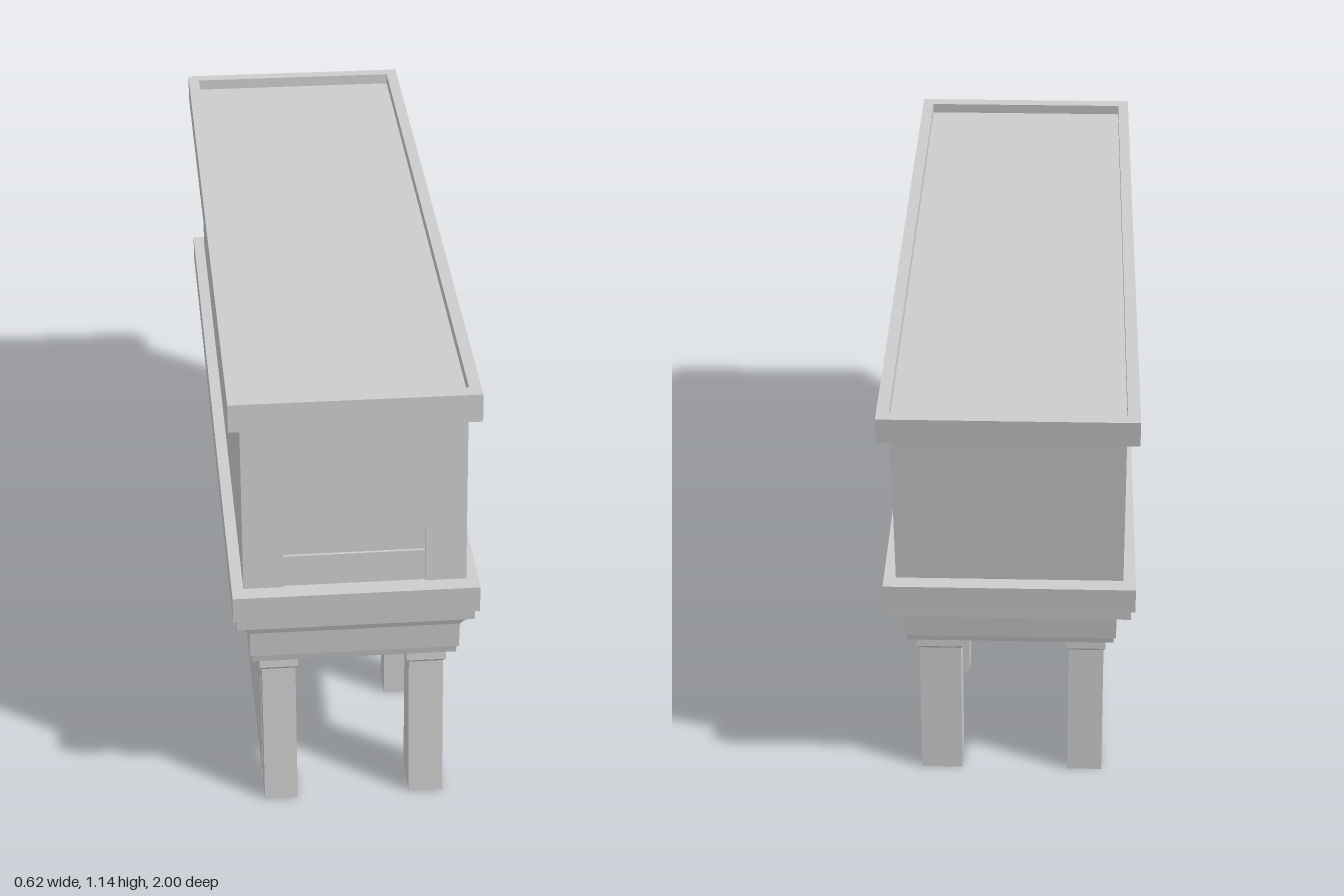
import * as THREE from 'three';

const material = new THREE.MeshStandardMaterial({ color: 0xcccccc, flatShading: true });

// The right-hand (-x) side splays slightly outward toward the back.
const splay = (x, z) => (x < 0 ? x + (-x / 0.31) * (0.0027 + 0.0077 * z) : x);
// The upper storey leans back.
const LEAN = 0.125, FLOOR = 0.63;
const leanZ = (y, z) => z - LEAN * (y - FLOOR);

function addMesh(parent, name, geometry) {
  const mesh = new THREE.Mesh(geometry, material);
  mesh.name = name;
  parent.add(mesh);
  return mesh;
}

function warp(geometry, leaning) {
  const p = geometry.attributes.position;
  for (let i = 0; i < p.count; i++) {
    const x = p.getX(i), y = p.getY(i), z = p.getZ(i);
    p.setXYZ(i, splay(x, z), y, leaning ? leanZ(y, z) : z);
  }
  geometry.computeVertexNormals();
  return geometry;
}

// Rectangular rings [y, x0, x1, z0, z1] joined from bottom to top, with caps.
function loft(rings, leaning = false) {
  const pos = [], index = [];
  for (const [y, x0, x1, z0, z1] of rings) {
    pos.push(x0, y, z1, x1, y, z1, x1, y, z0, x0, y, z0);
  }
  for (let r = 0; r < rings.length - 1; r++) {
    for (let k = 0; k < 4; k++) {
      const a = r * 4 + k, b = r * 4 + (k + 1) % 4;
      index.push(a, b, b + 4, a, b + 4, a + 4);
    }
  }
  const t = (rings.length - 1) * 4;
  index.push(0, 2, 1, 0, 3, 2, t, t + 1, t + 2, t, t + 2, t + 3);
  const g = new THREE.BufferGeometry();
  g.setAttribute('position', new THREE.Float32BufferAttribute(pos, 3));
  g.setIndex(index);
  return warp(g.toNonIndexed(), leaning);
}

const box = (x0, x1, y0, y1, z0, z1, leaning) =>
  loft([[y0, x0, x1, z0, z1], [y1, x0, x1, z0, z1]], leaning);

// Wall plate with arched notches rising from its base.
function archPlate(u0, u1, centres, halfWidth, top, depth) {
  const spring = 0.77, crown = 0.905, segments = 7;
  const s = new THREE.Shape();
  s.moveTo(u0, FLOOR);
  for (const c of centres) {
    s.lineTo(c - halfWidth, FLOOR);
    for (let i = 0; i <= segments + 1; i++) {
      const a = Math.PI * (1 - i / (segments + 1));
      s.lineTo(c + halfWidth * Math.cos(a), spring + (crown - spring) * Math.sin(a));
    }
    s.lineTo(c + halfWidth, FLOOR);
  }
  s.lineTo(u1, FLOOR);
  s.lineTo(u1, top);
  s.lineTo(u0, top);
  return new THREE.ExtrudeGeometry(s, { depth, bevelEnabled: false });
}

export function createModel() {
  const model = new THREE.Group();
  model.name = 'arcadedBuilding';

  // Stepped cornice between legs and upper storey: [y, front z, back z, half width]
  const profile = [
    [0.403, 0.94, -0.835, 0.245], [0.412, 0.94, -0.838, 0.245],
    [0.412, 0.96, -0.85, 0.26], [0.432, 0.963, -0.855, 0.26],
    [0.432, 0.965, -0.86, 0.266], [0.502, 0.967, -0.87, 0.266],
    [0.527, 0.975, -0.9, 0.287], [0.527, 0.985, -0.915, 0.3],
    [0.56, 0.985, -0.918, 0.3], [0.56, 0.998, -0.93, 0.31],
    [FLOOR, 0.997, -0.938, 0.31],
  ];
  addMesh(model, 'cornice', loft(profile.map(([y, f, b, w]) => [y, -w, w, b, f])));

  // Upper storey: solid core, arched front and side plates
  const upper = new THREE.Group();
  upper.name = 'upperStorey';
  model.add(upper);
  const TOP = 1.08, FRONT = 0.955, BACK = -0.896, SIDE = 0.28;
  const frontDepth = 0.012, sideDepth = 0.06;
  addMesh(upper, 'core',
    box(-SIDE, SIDE - sideDepth, FLOOR, TOP, BACK, FRONT - frontDepth, true));

  const front = archPlate(-SIDE, SIDE, [0], 0.178, TOP, frontDepth);
  front.translate(0, 0, FRONT - frontDepth);
  addMesh(upper, 'frontArchWall', warp(front, true));
  addMesh(upper, 'frontParapet',
    box(-0.178, 0.178, FLOOR, 0.71, FRONT - frontDepth - 0.01, FRONT - 0.005, true));

  const centres = [0.683, 0.246, -0.192, -0.63];
  const side = archPlate(-FRONT + frontDepth, -BACK, centres.map((c) => -c), 0.174, TOP, sideDepth);
  side.rotateY(Math.PI / 2);
  side.translate(SIDE - sideDepth, 0, 0);
  addMesh(upper, 'sideArchWall', warp(side, true));
  for (const c of centres) {
    addMesh(upper, 'sideParapet',
      box(SIDE - sideDepth - 0.01, SIDE - 0.025, FLOOR, 0.71, c - 0.174, c + 0.174, true));
  }

  // Overhanging roof rim with a sunken flat roof
  const ring = (y, w, f, b) => [y, -w, w, b, f];
  addMesh(model, 'roof', loft([
    ring(1.07, 0.31, 0.992, -0.933), ring(1.14, 0.31, 0.992, -0.935),
    ring(1.14, 0.28, 0.955, -0.902), ring(1.112, 0.28, 0.955, -0.902),
  ], true));

  // Legs: z range at the ground, z range at the top
  const rows = [
    [0.88, 0.995, 0.845, 0.94], [0.49, 0.575, 0.455, 0.54], [0.045, 0.125, 0.02, 0.1],
    [-0.415, -0.33, -0.42, -0.34], [-0.835, -0.75, -0.83, -0.748],
  ];
  const neck = 0.375, e = 0.006;
  function addLeg(x0, x1, [b0, b1, t0, t1]) {
    const k = neck / 0.405;
    const n0 = b0 + (t0 - b0) * k, n1 = b1 + (t1 - b1) * k;
    addMesh(model, 'leg', loft([
      [0, x0, x1, b0, b1], [neck, x0, x1, n0, n1],
      [neck + 0.008, x0 - e, x1 + e, n0 - e, n1 + e], [0.406, x0 - e, x1 + e, t0 - e, t1 + e],
    ]));
  }
  rows.forEach((row, i) => addLeg(i === 0 ? 0.143 : 0.124, 0.23, row));
  addLeg(-0.235, -0.148, rows[0]);
  addLeg(-0.235, -0.148, rows[4]);

  // Closed wall between the legs of the plain side
  addMesh(model, 'lowerWall', loft([
    [0.013, -0.236, -0.226, -0.834, 0.92], [0.406, -0.236, -0.226, -0.832, 0.88],
  ]));

  return model;
}
